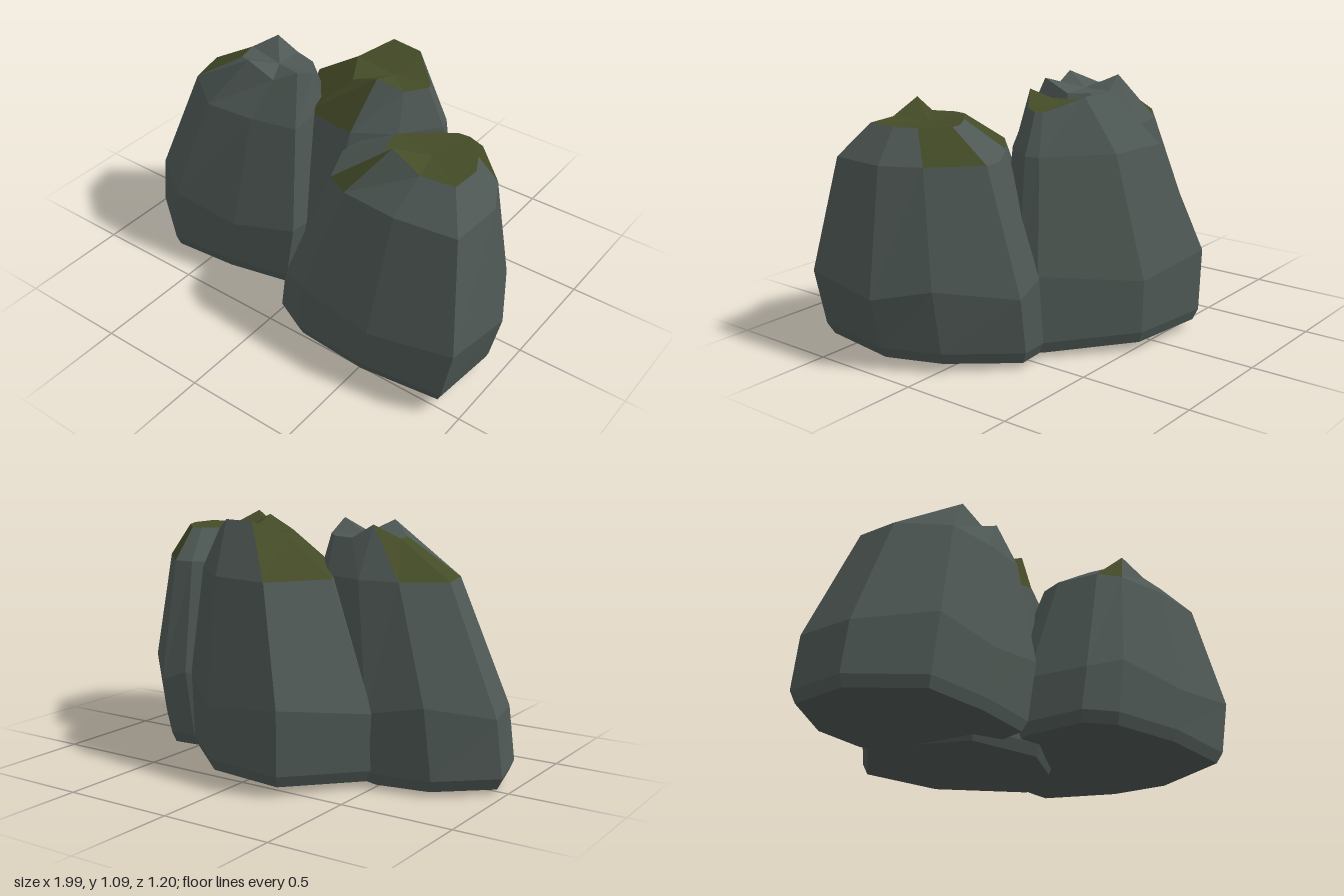
import * as THREE from 'three';

const stone = new THREE.MeshStandardMaterial({ color: 0x4e5854, flatShading: true });
stone.name = 'stone grey';
const moss = new THREE.MeshStandardMaterial({ color: 0x444b27, flatShading: true });
moss.name = 'moss green';

// outline: [x, z] of the widest ring, going left, back, right, front
// middle, crown: [x, z] centres of the widest ring and of the small top
// floorY, tilt: height of the underside and its slope along z
// peaks: corners of the top that stand up; mossBands: facets below the top that are mossy
const ROCKS = [
  {
    name: 'leftBoulder', floorY: 0.035, tilt: 0.04, lean: -0.04, middle: [-0.49, 0.07], crown: [-0.28, 0.06],
    topY: 1.03, peakY: 1.09, peaks: [1, 5, 7], mossBands: [8, 0], mossCrown: false,
    outline: [[-0.96, -0.05], [-0.72, -0.23], [-0.47, -0.27], [-0.2, -0.2], [-0.03, 0],
      [-0.01, 0.31], [-0.3, 0.38], [-0.62, 0.41], [-0.9, 0.2]],
  },
  {
    name: 'rightBoulder', floorY: 0.05, tilt: 0.06, lean: -0.04, middle: [0.5, 0.16], crown: [0.63, 0.19],
    topY: 1.01, peakY: 1.075, peaks: [9], mossBands: [1, 4, 9], mossCrown: true,
    outline: [[0, 0.25], [0.02, 0.1], [0.25, -0.1], [0.5, -0.27], [0.63, -0.28], [0.88, -0.03],
      [1, 0.2], [0.98, 0.55], [0.6, 0.6], [0.25, 0.575], [0.1, 0.5]],
  },
  {
    name: 'backBoulder', floorY: 0.02, tilt: -0.05, lean: 0, middle: [0, -0.19], crown: [0.17, -0.16],
    topY: 1.04, peakY: 1.1, peaks: [1, 2, 6], mossBands: [0, 6, 7], mossCrown: true,
    outline: [[-0.5, -0.26], [-0.25, -0.6], [0.14, -0.55], [0.48, -0.25], [0.51, -0.17],
      [0.34, 0.06], [0.1, 0.22], [-0.25, 0.18]],
  },
];

// Average of a ring, moved by a height offset
function ringCentre(ring, dy) {
  const centre = new THREE.Vector3();
  ring.forEach((p) => centre.add(p));
  centre.divideScalar(ring.length);
  centre.y += dy;
  return centre;
}

// Triangles gathered in a list become one mesh
function patch(name, corners, material) {
  const geometry = new THREE.BufferGeometry().setFromPoints(corners);
  geometry.computeVertexNormals();
  const mesh = new THREE.Mesh(geometry, material);
  mesh.name = name;
  return mesh;
}

function boulder({ name, floorY, tilt, lean, middle, crown, topY, peakY, peaks, mossBands, mossCrown, outline }) {
  // A ring is the outline scaled about its middle and moved to a new centre
  const ring = (scale, cx, cz, height) => outline.map(([x, z], i) => new THREE.Vector3(
    cx + (x - middle[0]) * scale, height(i), cz + (z - middle[1]) * scale));
  const [mx, mz] = middle;
  const [tx, tz] = crown;
  const ground = (i) => floorY + tilt * outline[i][1];

  const floor = ring(0.93, mx + lean, mz, ground);
  const base = ring(0.98, mx + lean, mz, (i) => ground(i) + 0.05);
  const belly = ring(1, mx, mz, (i) => 0.33 + (i % 2) * 0.05);
  const shoulder = ring(0.71, (mx + tx) / 2, (mz + tz) / 2, () => 0.87);
  const top = ring(0.39, tx, tz, (i) => (peaks.includes(i) ? peakY : topY));
  const rings = [floor, base, belly, shoulder, top];

  const bare = [];
  const mossy = [];
  const hollow = ringCentre(top, -0.02);
  const under = ringCentre(floor, -0.02);
  for (let i = 0; i < outline.length; i++) {
    const j = (i + 1) % outline.length;
    for (let r = 0; r < 4; r++) {
      const [lo, hi] = [rings[r], rings[r + 1]];
      const faces = r === 3 && mossBands.includes(i) ? mossy : bare;
      faces.push(lo[j], lo[i], hi[i], lo[j], hi[i], hi[j]);
    }
    (mossCrown ? mossy : bare).push(hollow, top[j], top[i]);
    bare.push(under, floor[i], floor[j]);
  }

  const group = new THREE.Group();
  group.name = name;
  group.add(patch(name + 'Stone', bare, stone), patch(name + 'Moss', mossy, moss));
  return group;
}

export function createModel() {
  const group = new THREE.Group();
  group.name = 'mossyBoulders';
  ROCKS.forEach((rock) => group.add(boulder(rock)));
  return group;
}
